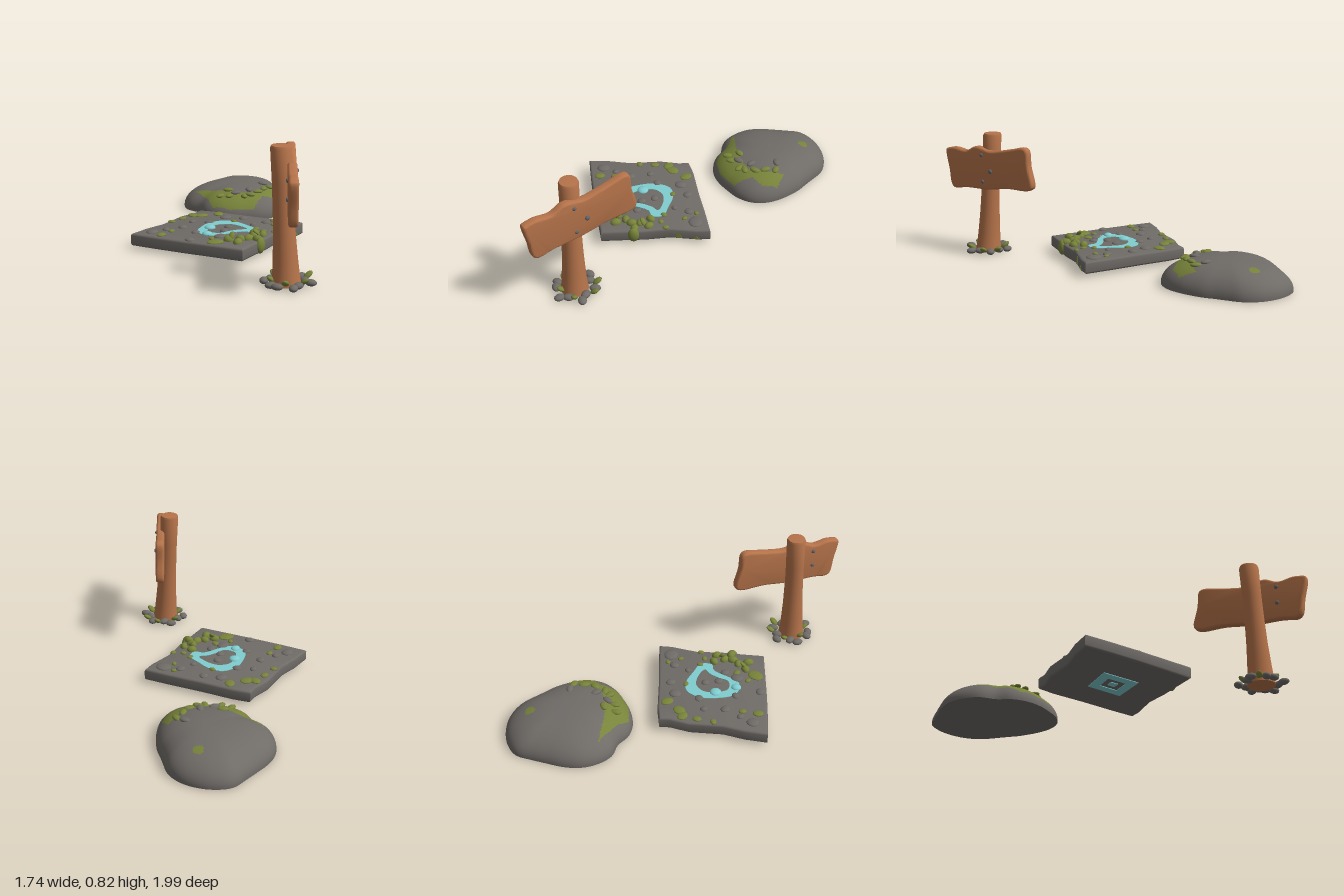
import * as THREE from 'three';
import { toCreasedNormals } from 'three/addons/utils/BufferGeometryUtils.js';

const paint = (name, color) => Object.assign(new THREE.MeshStandardMaterial({ color }), { name });

export function createModel() {
  const model = new THREE.Group();
  const stone = paint('stone', 0x6f6b67);
  const wood = paint('wood', 0xb5734a);
  const moss = paint('moss', 0x78833a);
  const rune = paint('glowing blue', 0x80cdd0);
  const iron = paint('iron', 0x62656a);

  const group = (name, parent = model) => {
    const g = new THREE.Group();
    g.name = name;
    parent.add(g);
    return g;
  };
  const add = (parent, name, geometry, material) => {
    const mesh = new THREE.Mesh(geometry, material);
    mesh.name = name;
    parent.add(mesh);
    return mesh;
  };
  const ball = new THREE.SphereGeometry(1, 16, 10);
  const blob = (parent, name, material, [x, y, z], [rx, ry, rz], turn = 0, tilt = 0) => {
    const mesh = add(parent, name, ball, material);
    mesh.position.set(x, y, z);
    mesh.scale.set(rx, ry, rz);
    mesh.rotation.set(0, turn, tilt, 'YXZ');
    return mesh;
  };
  // closed smooth outline through a few points
  const smooth = (points, n) => new THREE.CatmullRomCurve3(
    points.map(([x, y]) => new THREE.Vector3(x, y, 0)), true).getPoints(n).slice(0, n)
    .map((p) => new THREE.Vector2(p.x, p.y));
  // horizontal plate from an x/z outline, hanging down from height top
  const plate = (outline, holes, top, depth, bevel = 0) => {
    const shape = new THREE.Shape(outline);
    shape.holes = holes.map((h) => new THREE.Path(h));
    const g = new THREE.ExtrudeGeometry(shape, {
      depth: depth - 2 * bevel, bevelEnabled: bevel > 0, bevelSize: bevel,
      bevelThickness: bevel, bevelOffset: -bevel, bevelSegments: 3,
    });
    g.rotateX(Math.PI / 2).translate(0, top - bevel, 0);
    return toCreasedNormals(g, 0.7);
  };

  // ---- signpost ----
  const sign = group('signpost');
  const postGeo = new THREE.LatheGeometry([
    [0, 0.005], [0.088, 0.005], [0.08, 0.06], [0.074, 0.14], [0.066, 0.28], [0.062, 0.42],
    [0.06, 0.6], [0.062, 0.8], [0.056, 0.815], [0, 0.82],
  ].map(([r, y]) => new THREE.Vector2(r, y)), 28);
  const pp = postGeo.attributes.position;
  for (let i = 0; i < pp.count; i++) {
    pp.setZ(i, pp.getZ(i) + 0.74 - 0.055 * pp.getY(i)); // slight lean
    pp.setX(i, pp.getX(i) - 0.632);
  }
  add(sign, 'post', toCreasedNormals(postGeo, 0.8), wood);

  const board = group('signBoard', sign);
  board.position.set(-0.575, 0, 0.73);
  board.rotation.y = 0.724;
  const boardShape = new THREE.Shape(smooth([
    [-0.375, 0.68], [-0.35, 0.54], [-0.33, 0.435], [-0.3, 0.415], [-0.2, 0.43], [0, 0.44],
    [0.18, 0.468], [0.36, 0.478], [0.392, 0.505], [0.362, 0.64], [0.35, 0.745], [0.32, 0.762],
    [0.2, 0.738], [0.03, 0.708], [-0.1, 0.728], [-0.19, 0.69], [-0.29, 0.7], [-0.355, 0.69],
  ], 90));
  const boardGeo = new THREE.ExtrudeGeometry(boardShape, {
    depth: 0.026, bevelSize: 0.015, bevelThickness: 0.015, bevelOffset: -0.015, bevelSegments: 3,
  }).translate(0, 0, -0.013);
  add(board, 'plank', toCreasedNormals(boardGeo, 0.7), wood);
  for (const [u, y, n, r] of [[-0.042, 0.675, 0.028, 0.013], [0.039, 0.572, 0.034, 0.016],
    [-0.035, 0.493, 0.028, 0.013], [-0.18, 0.65, -0.028, 0.014], [-0.18, 0.54, -0.028, 0.014]]) {
    blob(board, 'nail', iron, [u, y, n], [r, r, 0.01]);
  }

  // pebbles and leaves around the foot
  const foot = group('postFoot', sign);
  for (let i = 0; i < 17; i++) {
    const a = (i / 17) * Math.PI * 2;
    const r = 0.118 + 0.022 * Math.sin(i * 2.4);
    const x = -0.62 + Math.cos(a) * r, z = 0.742 + Math.sin(a) * r;
    if (i % 3 === 1) blob(foot, 'leaf', moss, [x, 0.036, z], [0.034, 0.014, 0.022], -a, 0.6);
    else blob(foot, 'pebble', stone, [x, 0.02, z], [0.036, 0.02, 0.027], -a + i);
  }

  // ---- carved slab ----
  const slab = group('carvedSlab');
  const outline = [
    [-0.754, -0.437], [-0.61, -0.452], [-0.47, -0.447], [-0.26, -0.49], [-0.13, -0.484],
    [-0.066, -0.5], [-0.02, -0.39], [0.04, -0.18], [0.108, 0.03], [0.161, 0.209],
    [0.08, 0.225], [-0.1, 0.225], [-0.26, 0.267], [-0.39, 0.288], [-0.54, 0.315],
    [-0.575, 0.2], [-0.66, -0.08], [-0.71, -0.26],
  ].map(([x, z]) => new THREE.Vector2(x, z));
  add(slab, 'slab', plate(outline, [], 0.102, 0.08, 0.014), stone);
  add(slab, 'runeRing', plate(smooth([
    [-0.45, -0.15], [-0.37, -0.2], [-0.26, -0.23], [-0.155, -0.195], [-0.125, -0.1], [-0.14, 0],
    [-0.165, 0.1], [-0.235, 0.115], [-0.265, 0.06], [-0.38, 0.02], [-0.45, -0.01], [-0.475, -0.08],
  ], 48), [smooth([
    [-0.405, -0.1], [-0.35, -0.145], [-0.26, -0.165], [-0.195, -0.115], [-0.183, -0.02],
    [-0.205, 0.05], [-0.245, 0.02], [-0.315, -0.005], [-0.385, -0.02],
  ], 36)], 0.105, 0.005), rune);
  // painted squares on the underside
  const scaled = (s) => [0, 5, 9, 14].map((i) => new THREE.Vector2(
    -0.3 + (outline[i].x + 0.3) * s, -0.1 + (outline[i].y + 0.1) * s));
  add(slab, 'undersideRing', plate(scaled(0.33), [scaled(0.17)], 0.024, 0.006), rune);
  add(slab, 'undersideCentre', plate(scaled(0.07), [], 0.024, 0.006), rune);

  // studs: x, z, radius
  const stones = [
    [-0.64, -0.36, 0.042], [-0.44, -0.29, 0.032], [-0.25, -0.24, 0.03], [-0.09, -0.24, 0.04],
    [-0.03, -0.14, 0.032], [-0.61, -0.06, 0.032], [-0.43, 0.03, 0.042], [-0.34, 0.06, 0.03],
    [0.055, 0.135, 0.052], [0, 0.035, 0.032], [-0.325, -0.035, 0.03], [-0.245, -0.075, 0.028],
    [-0.47, -0.145, 0.028], [-0.31, -0.33, 0.025], [-0.55, -0.33, 0.025], [-0.1, 0.01, 0.022],
  ];
  stones.forEach(([x, z, r], i) =>
    blob(slab, 'stud', stone, [x, 0.102, z], [r, 0.014, r * 0.9], i));
  blob(slab, 'runeStud', rune, [-0.335, 0.104, -0.15], [0.037, 0.018, 0.037]);
  blob(slab, 'runeStud', rune, [-0.45, 0.104, -0.065], [0.033, 0.018, 0.03]);
  const clumps = [
    [-0.295, -0.435, 0.03], [-0.2, -0.435, 0.04], [-0.165, -0.39, 0.045], [-0.065, -0.33, 0.042],
    [-0.4, -0.43, 0.025], [-0.65, -0.27, 0.035], [-0.13, -0.13, 0.022], [-0.16, 0.09, 0.022],
    [-0.505, 0.025, 0.022], [-0.46, 0.13, 0.034], [-0.46, 0.205, 0.037], [-0.4, 0.17, 0.033],
    [-0.355, 0.2, 0.037], [-0.3, 0.19, 0.033], [-0.24, 0.145, 0.033], [-0.24, 0.215, 0.033],
    [-0.17, 0.16, 0.022], [-0.13, 0.215, 0.022], [-0.415, 0.08, 0.028], [-0.54, 0.09, 0.055],
    [-0.02, 0.11, 0.02], [0.05, 0.05, 0.02], [-0.55, -0.28, 0.025], [-0.33, 0.25, 0.035],
  ];
  clumps.forEach(([x, z, r], i) => {
    const lush = z > 0.12 && x < -0.2;
    blob(slab, 'mossClump', moss, [x, 0.104, z], [r, lush ? 0.028 : 0.011, r * 0.78], i * 1.3);
  });
  blob(slab, 'sprout', moss, [-0.445, 0.132, 0.14], [0.03, 0.011, 0.018], 0.4, 0.8);
  blob(slab, 'sprout', moss, [-0.28, 0.126, 0.2], [0.03, 0.011, 0.018], 2.4, 0.7);
  blob(slab, 'hangingMoss', moss, [-0.333, 0.072, 0.277], [0.037, 0.052, 0.025], 0.15);
  // small moss streaks on the slab's front edge
  for (const [x, h] of [[-0.045, 0.055], [0.07, 0.025]]) {
    const tri = new THREE.Shape([[-0.022, 0], [0.022, 0], [0, h]].map((p) => new THREE.Vector2(...p)));
    add(slab, 'mossStreak', new THREE.ExtrudeGeometry(tri, { depth: 0.006, bevelEnabled: false }), moss)
      .position.set(x, 0.033, 0.222);
  }

  // ---- boulder: lobed dome, outline given as radii every 15 degrees ----
  const rock = group('boulder');
  const CX = 0.495, CZ = -0.616;
  const radii = [0.355, 0.315, 0.297, 0.303, 0.317, 0.345, 0.38, 0.402, 0.402, 0.392, 0.397, 0.402,
    0.395, 0.372, 0.41, 0.418, 0.412, 0.394, 0.382, 0.394, 0.428, 0.423, 0.407, 0.386];
  const radius = (a) => {
    const f = ((a / (Math.PI * 2)) * 24 + 24) % 24, i = Math.floor(f), t = f - i;
    const at = (k) => radii[(k + 24) % 24];
    const [p, q, r, s] = [at(i - 1), at(i), at(i + 1), at(i + 2)];
    return q + 0.5 * t * (r - p + t * (2 * p - 5 * q + 4 * r - s + t * (3 * (q - r) + s - p)));
  };
  const height = (s) => 0.012 + 0.17 * Math.sqrt(Math.max(0, 1 - s ** 2.5));
  const ROWS = 36, COLS = 144, pos = [], rim = [];
  for (let i = 0; i <= ROWS; i++) {
    const s = Math.sin((i / ROWS) * Math.PI / 2);
    for (let j = 0; j < COLS; j++) {
      const a = (j / COLS) * Math.PI * 2, r = s * radius(a);
      const x = CX + r * Math.cos(a), z = Math.max(-1, CZ + r * Math.sin(a));
      pos.push(x, height(s), z);
      if (i === ROWS) rim.push(new THREE.Vector2(x, z));
    }
  }
  const patch = [[0.22, -0.84], [0.245, -0.66], [0.28, -0.53], [0.35, -0.405], [0.48, -0.385],
    [0.6, -0.395], [0.56, -0.3], [0.46, -0.285], [0.38, -0.34], [0.27, -0.31], [0.16, -0.43],
    [0.115, -0.56], [0.17, -0.66], [0.2, -0.76]];
  const mossy = (x, z) => {
    let inside = Math.hypot(x - 0.71, z + 0.73) < 0.032;
    patch.forEach(([ax, az], i) => {
      const [bx, bz] = patch[(i + 1) % patch.length];
      if ((az > z) !== (bz > z) && x < ((bx - ax) * (z - az)) / (bz - az) + ax) inside = !inside;
    });
    return inside;
  };
  const faces = [[], []];
  for (let i = 0; i < ROWS; i++) for (let j = 0; j < COLS; j++) {
    const k = (j + 1) % COLS;
    const a = i * COLS + j, b = i * COLS + k, c = a + COLS, d = b + COLS;
    for (const t of [[a, b, c], [b, d, c]]) {
      const mid = (o) => t.reduce((sum, v) => sum + pos[v * 3 + o], 0) / 3;
      faces[mossy(mid(0), mid(2)) ? 1 : 0].push(...t);
    }
  }
  const dome = new THREE.BufferGeometry();
  dome.setAttribute('position', new THREE.Float32BufferAttribute(pos, 3));
  dome.setIndex([...faces[0], ...faces[1]]);
  dome.addGroup(0, faces[0].length, 0);
  dome.addGroup(faces[0].length, faces[1].length, 1);
  dome.computeVertexNormals();
  add(rock, 'dome', dome, [stone, moss]);
  add(rock, 'base', plate(rim, [], 0.012, 0.008), stone);

  // moss tufts and pebbles resting on the dome
  [[0.23, -0.5, 1], [0.29, -0.42, 1], [0.33, -0.4, 1], [0.4, -0.39, 1], [0.47, -0.4, 1],
    [0.54, -0.41, 1], [0.28, -0.56, 1], [0.2, -0.56, 1], [0.37, -0.45, 0], [0.54, -0.475, 0],
    [0.28, -0.49, 0]].forEach(([x, z, green], i) => {
    const s = Math.hypot(x - CX, z - CZ) / radius(Math.atan2(z - CZ, x - CX));
    blob(rock, green ? 'mossTuft' : 'pebble', green ? moss : stone,
      [x, height(s) + 0.003, z], [0.036, 0.014, 0.022], i * 0.9);
  });

  return model;
}
